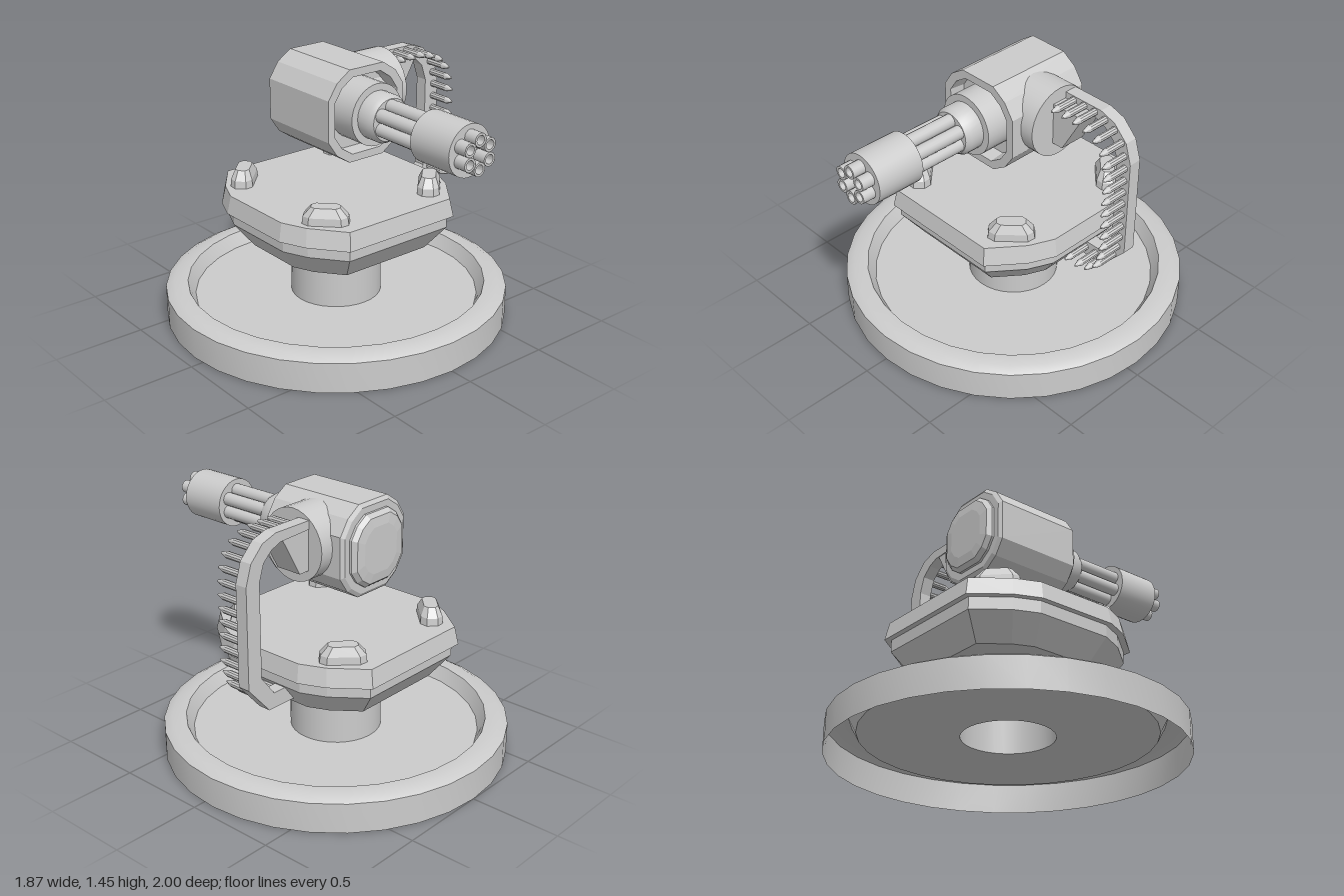
import * as THREE from 'three';
import { toCreasedNormals } from 'three/addons/utils/BufferGeometryUtils.js';

const CZ = -0.065; // z of the turning axis
const grey = new THREE.MeshStandardMaterial({ color: 0xcccccc });
const flat = new THREE.MeshStandardMaterial({ color: 0xcccccc, flatShading: true });
const thin = new THREE.MeshStandardMaterial({ color: 0xcccccc, side: THREE.DoubleSide });

function add(parent, name, geometry, material = grey) {
  const mesh = new THREE.Mesh(geometry, material);
  mesh.name = name;
  parent.add(mesh);
  return mesh;
}

// Mirror one quadrant of a polygon into all four
function mirrorQuadrant(q) {
  const r = [...q].reverse();
  return [
    ...q,
    ...r.map(([x, z]) => [-x, z]),
    ...q.map(([x, z]) => [-x, -z]),
    ...r.map(([x, z]) => [x, -z]),
  ];
}

// Stack scaled copies of a polygon along y: sections are [scale, y]
function loft(poly, sections) {
  const pos = [];
  const n = poly.length;
  const at = ([s, y], i) => [poly[i % n][0] * s, y, poly[i % n][1] * s];
  const first = sections[0], last = sections[sections.length - 1];
  for (let i = 0; i < n; i++) {
    for (let k = 0; k + 1 < sections.length; k++) {
      const a = at(sections[k], i), b = at(sections[k], i + 1);
      const c = at(sections[k + 1], i + 1), d = at(sections[k + 1], i);
      pos.push(...a, ...d, ...c, ...a, ...c, ...b);
    }
    pos.push(0, first[1], 0, ...at(first, i), ...at(first, i + 1));
    pos.push(0, last[1], 0, ...at(last, i + 1), ...at(last, i));
  }
  const g = new THREE.BufferGeometry();
  g.setAttribute('position', new THREE.Float32BufferAttribute(pos, 3));
  g.computeVertexNormals();
  return g;
}

function lathe(points, sides) {
  const g = new THREE.LatheGeometry(points.map(p => new THREE.Vector2(...p)), sides);
  return toCreasedNormals(g, 0.6);
}

function extrude(points, z0, z1) {
  const shape = new THREE.Shape(points.map(p => new THREE.Vector2(...p)));
  const g = new THREE.ExtrudeGeometry(shape, { depth: z1 - z0, bevelEnabled: false });
  return g.translate(0, 0, z0);
}

export function createModel() {
  const model = new THREE.Group();
  model.name = 'turret';

  // Dish-shaped base, open underneath, and its hollow column
  add(model, 'base', lathe([
    [0.935, 0], [0.935, 0.165], [0.89, 0.19], [0.815, 0.19], [0.775, 0.115], [0.247, 0.115],
  ], 32), thin).position.z = CZ;
  add(model, 'column', new THREE.CylinderGeometry(0.247, 0.247, 0.33, 32, 1, true)
    .translate(0, 0.28, CZ), thin);

  // Turntable: tapered underside and cover plate
  const deck = mirrorQuadrant([[0.55, 0.23], [0.49, 0.37], [0.35, 0.55]]);
  add(model, 'turntableUnderside', loft(deck, [[0.765, 0.427], [0.945, 0.56], [0.945, 0.64]]), flat)
    .position.z = CZ;
  add(model, 'turntablePlate', loft(deck, [[1, 0.627], [0.965, 0.725]]), flat).position.z = CZ;

  // Four wedge lugs on the corners of the plate
  const lug = mirrorQuadrant([[0.12, 0.03], [0.085, 0.06]]);
  for (const sx of [-1, 1]) {
    for (const sz of [-1, 1]) {
      const m = add(model, 'lug', loft(lug, [[1, 0.715], [0.95, 0.765], [0.62, 0.812]]), flat);
      m.position.set(sx * 0.35, 0, CZ + sz * 0.355);
      m.rotation.y = sx * sz * Math.PI / 4;
    }
  }

  // Gun head: faceted housing with a recessed front and a stepped back cap
  const head = new THREE.Group();
  head.name = 'gunHead';
  head.position.y = 1.2;
  model.add(head);
  const outline = mirrorQuadrant([[0.247, 0.11], [0.192, 0.192], [0.11, 0.247]]);
  add(head, 'housing', loft(outline, [
    [0.92, -0.322], [1, -0.308], [1, 0.185], [0.83, 0.185], [0.8, 0.1],
  ]).rotateX(Math.PI / 2), flat);
  add(head, 'backCap', loft(outline, [
    [0.5, -0.365], [0.7, -0.358], [0.78, -0.335], [0.78, -0.31],
  ]).rotateX(Math.PI / 2), flat);

  // Gun: collars, six hollow barrels and a sleeve, along z
  const gun = new THREE.Group();
  gun.name = 'gun';
  gun.position.y = 1.21;
  model.add(gun);
  add(gun, 'collar', lathe([
    [0, 0.08], [0.165, 0.08], [0.165, 0.268], [0.128, 0.268], [0.128, 0.345],
    [0.112, 0.372], [0, 0.372],
  ], 32).rotateX(Math.PI / 2));
  add(gun, 'sleeve', lathe([
    [0, 0.665], [0.134, 0.665], [0.134, 0.93], [0, 0.93],
  ], 32).rotateX(Math.PI / 2));
  const barrel = lathe([
    [0.036, 0.35], [0.036, 1], [0.024, 1], [0.024, 0.94], [0, 0.94],
  ], 16).rotateX(Math.PI / 2);
  for (let i = 0; i < 6; i++) {
    const a = Math.PI / 2 + i * Math.PI / 3;
    add(gun, 'barrel', barrel).position.set(0.073 * Math.cos(a), 0.073 * Math.sin(a), 0);
  }

  // Round side mount and the bracket beside it
  add(model, 'sideMount', new THREE.CylinderGeometry(0.193, 0.193, 0.27, 32)
    .rotateZ(Math.PI / 2).translate(0.19, 1.237, CZ));
  add(model, 'bracket', extrude([
    [0.31, 1.125], [0.39, 1.125], [0.51, 1.34], [0.51, 1.355], [0.31, 1.355],
  ], -0.17, -0.02));

  // Curved feed arm from the turntable up to the mount
  add(model, 'feedArm', extrude([
    [0.31, 1.39], [0.56, 1.39], [0.65, 1.36], [0.73, 1.28], [0.765, 1.17], [0.765, 0.625],
    [0.625, 0.465], [0.4, 0.465], [0.4, 0.55], [0.59, 0.55], [0.675, 0.66], [0.675, 1.17],
    [0.645, 1.26], [0.59, 1.31], [0.53, 1.335], [0.31, 1.345],
  ], -0.175, -0.105));

  // Pointed rounds spaced along the arm
  const path = new THREE.CatmullRomCurve3([
    [0.38, 1.367], [0.52, 1.367], [0.59, 1.352], [0.655, 1.322], [0.7, 1.275], [0.725, 1.2],
    [0.732, 1.14], [0.732, 0.93], [0.732, 0.72], [0.72, 0.65], [0.7, 0.585], [0.645, 0.535],
    [0.575, 0.515], [0.505, 0.515],
  ].map(([x, y]) => new THREE.Vector3(x, y, 0)), false, 'centripetal');
  const round = lathe([
    [0, -0.13], [0.019, -0.13], [0.019, 0.01], [0.006, 0.05], [0, 0.053],
  ], 10).rotateX(Math.PI / 2);
  for (const p of path.getSpacedPoints(18)) add(model, 'round', round).position.copy(p);

  return model;
}
